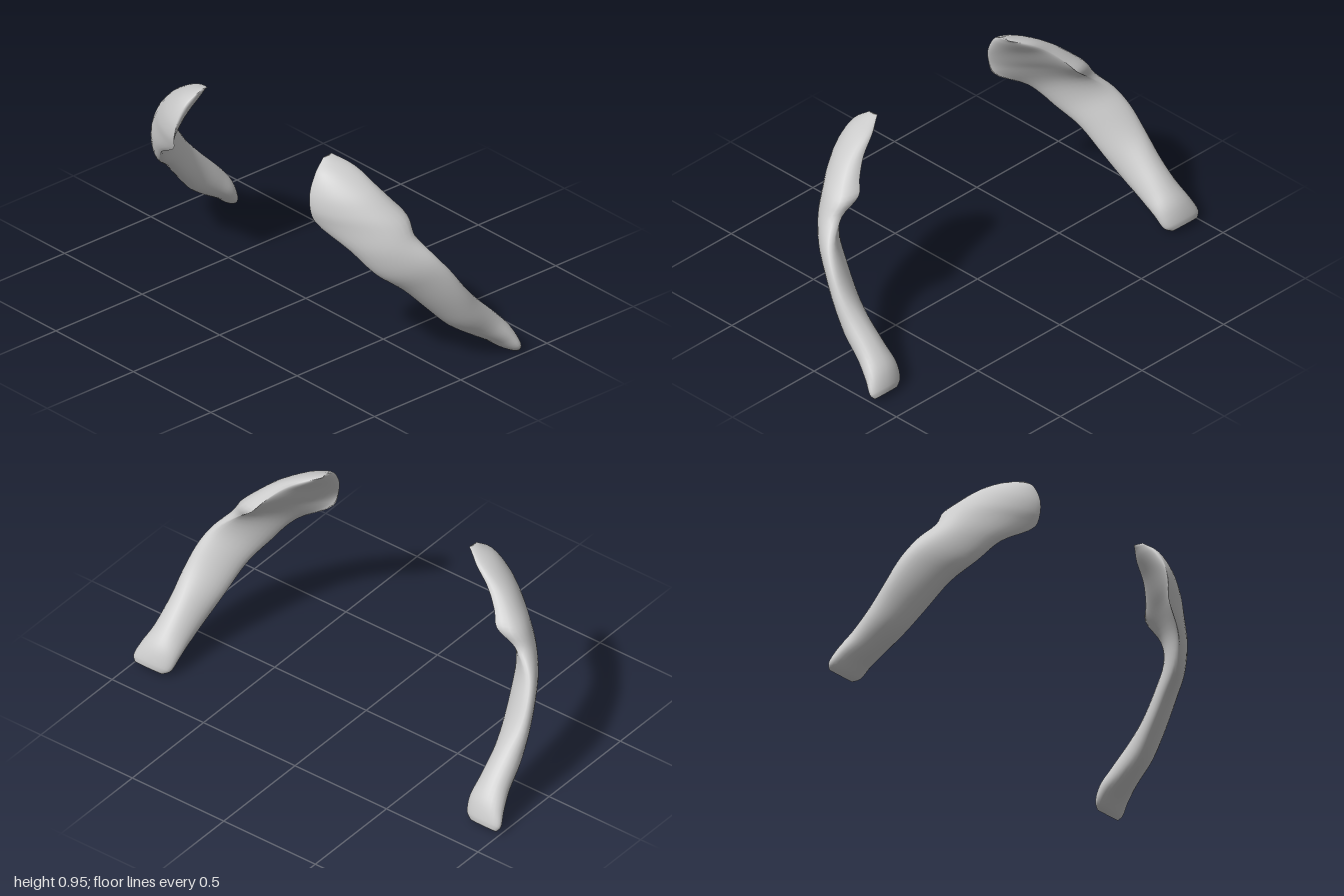
import * as THREE from 'three';

// Stations from the broad head to the narrow foot:
// upper edge xyz, lower edge xyz, z of the outer crest, z of the inner face
const STATIONS = [
  [[-0.21, 0.95, 0.40], [-0.26, 0.945, 0.40], 0.42, 0.40],
  [[-0.16, 0.91, 0.49], [-0.32, 0.90, 0.425], 0.52, 0.42],
  [[-0.13, 0.85, 0.57], [-0.362, 0.82, 0.43], 0.61, 0.47],
  [[-0.09, 0.785, 0.63], [-0.37, 0.745, 0.44], 0.68, 0.53],
  [[-0.055, 0.73, 0.67], [-0.355, 0.685, 0.455], 0.735, 0.595],
  [[-0.07, 0.655, 0.76], [-0.29, 0.58, 0.61], 0.79, 0.67],
  [[-0.03, 0.575, 0.85], [-0.22, 0.475, 0.70], 0.845, 0.72],
  [[0.03, 0.49, 0.89], [-0.12, 0.39, 0.76], 0.89, 0.755],
  [[0.10, 0.39, 0.90], [-0.01, 0.27, 0.80], 0.925, 0.78],
  [[0.18, 0.30, 0.89], [0.08, 0.175, 0.83], 0.945, 0.795],
  [[0.28, 0.20, 0.89], [0.18, 0.105, 0.85], 0.96, 0.80],
  [[0.34, 0.13, 0.90], [0.26, 0.055, 0.87], 0.985, 0.80],
  [[0.368, 0.06, 0.92], [0.31, 0.015, 0.88], 1.0, 0.815],
  [[0.37, 0.03, 0.93], [0.335, 0.002, 0.90], 0.985, 0.845],
];
const RINGS = 52, SIDES = 28;

function boneGeometry(side) {
  const track = (pick) => new THREE.CatmullRomCurve3(STATIONS.map(pick));
  const mid = (s, z) => new THREE.Vector3((s[0][0] + s[1][0]) / 2, (s[0][1] + s[1][1]) / 2, z);
  const upper = track((s) => new THREE.Vector3(...s[0]));
  const lower = track((s) => new THREE.Vector3(...s[1]));
  const outer = track((s) => mid(s, s[2]));
  const inner = track((s) => mid(s, s[3]));

  const positions = [], indices = [];
  const push = (p) => positions.push(p.x, p.y, p.z * side);
  const face = (a, b, c) => (side > 0 ? indices.push(a, b, c) : indices.push(a, c, b));

  // Rings: half ellipses meeting at the two edges, which allows a scooped inner face
  for (let i = 0; i <= RINGS; i++) {
    const t = i / RINGS;
    const a = upper.getPoint(t), b = lower.getPoint(t);
    const centre = a.clone().add(b).multiplyScalar(0.5);
    const half = a.clone().sub(centre);
    const out = outer.getPoint(t).sub(centre), inn = inner.getPoint(t).sub(centre);
    for (let j = 0; j < SIDES; j++) {
      const angle = (j / SIDES) * Math.PI * 2, s = Math.sin(angle);
      push(centre.clone().addScaledVector(half, Math.cos(angle)).addScaledVector(s > 0 ? out : inn, Math.abs(s)));
    }
  }
  for (let i = 0; i < RINGS; i++) {
    for (let j = 0; j < SIDES; j++) {
      const k = (j + 1) % SIDES;
      const p = i * SIDES + j, q = i * SIDES + k;
      face(p, q, p + SIDES);
      face(q, q + SIDES, p + SIDES);
    }
  }

  // End caps
  for (const [t, ring] of [[0, 0], [1, RINGS]]) {
    const centre = positions.length / 3;
    push(outer.getPoint(t).add(inner.getPoint(t)).multiplyScalar(0.5));
    for (let j = 0; j < SIDES; j++) {
      const p = ring * SIDES + j, q = ring * SIDES + ((j + 1) % SIDES);
      if (t === 0) face(centre, q, p);
      else face(centre, p, q);
    }
  }

  const geometry = new THREE.BufferGeometry();
  geometry.setAttribute('position', new THREE.Float32BufferAttribute(positions, 3));
  geometry.setIndex(indices);
  geometry.computeVertexNormals();
  return geometry;
}

export function createModel() {
  const model = new THREE.Group();
  model.name = 'curvedBonePair';
  const material = new THREE.MeshStandardMaterial({ color: 0xcccccc });
  // The two bones mirror each other across z = 0
  for (const [name, side] of [['frontBone', 1], ['backBone', -1]]) {
    const bone = new THREE.Mesh(boneGeometry(side), material);
    bone.name = name;
    model.add(bone);
  }
  return model;
}
